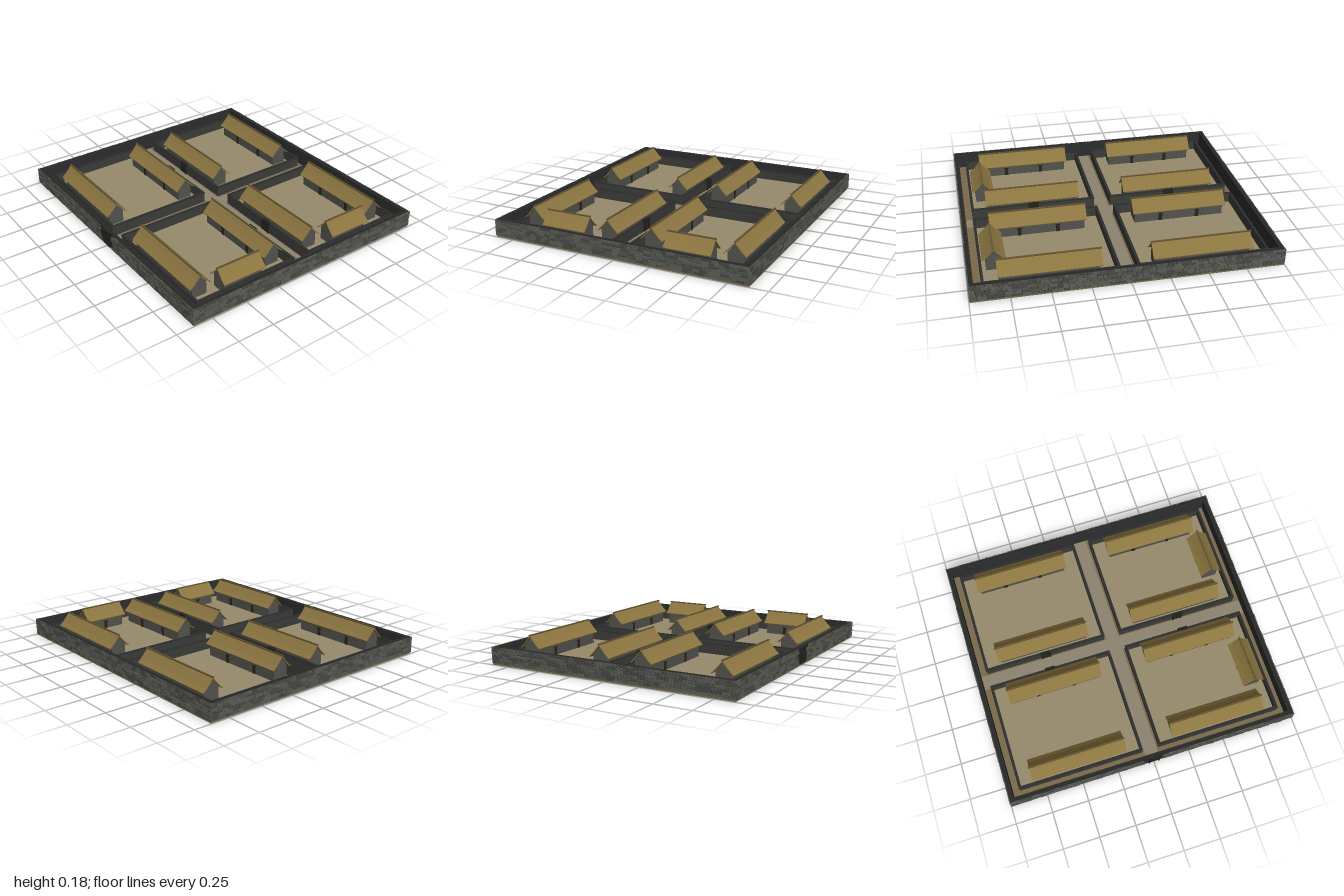
import * as THREE from 'three';
import { mergeGeometries } from 'three/addons/utils/BufferGeometryUtils.js';

const mat = (color) => new THREE.MeshStandardMaterial({ color, roughness: 1, flatShading: true });
const M = {
  earth: mat(0x7b6a4b), road: mat(0x8d8370), court: mat(0x978a6c),
  core: mat(0x272725), stones: [0x474743, 0x52524d, 0x5c5c56].map(mat),
  inner: mat(0x3b3b38), cap: mat(0x2c2d2e), plaster: mat(0x52524e),
  thatch: mat(0x8b7540), ridge: mat(0x66552f), wood: mat(0x2c2219), frame: mat(0x20201f),
};
const GROUND = 0.01, WALL_TOP = 0.12, HX = 1, HZ = 0.885;

let seed = 7;
const rand = () => (seed = (seed * 16807) % 2147483647) / 2147483647;

function add(parent, name, geometry, material) {
  const mesh = new THREE.Mesh(geometry, material);
  mesh.name = name;
  parent.add(mesh);
  return mesh;
}

// Box given by its centre in x and z and its bottom in y
function box(parent, name, material, w, h, d, x, y, z) {
  return add(parent, name, new THREE.BoxGeometry(w, h, d).translate(x, y + h / 2, z), material);
}

// Four walls round a rectangle; x0..z1 are the outer faces
function wallRing(parent, name, material, x0, x1, z0, z1, t, y, h) {
  const cx = (x0 + x1) / 2, cz = (z0 + z1) / 2;
  for (const z of [z0 + t / 2, z1 - t / 2]) box(parent, name, material, x1 - x0, h, t, cx, y, z);
  for (const x of [x0 + t / 2, x1 - t / 2]) box(parent, name, material, t, h, z1 - z0 - 2 * t, x, y, cz);
}

// Uneven stone courses on the outside of the perimeter wall
function stoneFacing(parent) {
  const piles = M.stones.map(() => []);
  const rows = 6, rowH = (WALL_TOP - GROUND) / rows, gap = 0.003;
  const sides = [[HX, HZ, 0], [HZ, HX, Math.PI / 2], [HX, HZ, Math.PI], [HZ, HX, -Math.PI / 2]];
  for (const [half, out, angle] of sides) {
    for (let r = 0; r < rows; r++) {
      let a = -half;
      while (a < half - 0.001) {
        let b = a + 0.025 + rand() * 0.04;
        if (half - b < 0.02) b = half;
        const isGate = angle === 0 && a < 0.04 && b > -0.04;
        if (!isGate) {
          const depth = 0.006 + rand() * 0.004;
          const g = new THREE.BoxGeometry(b - a - gap, rowH - gap, depth);
          g.translate((a + b) / 2, GROUND + (r + 0.5) * rowH, out - 0.01 + depth / 2);
          piles[Math.floor(rand() * piles.length)].push(g.rotateY(angle));
        }
        a = b;
      }
    }
  }
  piles.forEach((p, i) => add(parent, 'wallStones', mergeGeometries(p), M.stones[i]));
}

// Framed double door facing +z, standing at the origin
function gate(w, h, d) {
  const g = new THREE.Group();
  g.name = 'gate';
  const post = w * 0.14;
  for (const s of [-1, 1]) {
    box(g, 'gatePost', M.frame, post, h, d, s * (w - post) / 2, 0, 0);
    box(g, 'gateLeaf', M.wood, w / 2 - post - 0.001, h - post, d * 0.6, s * (w / 2 - post) / 2, 0, 0);
  }
  box(g, 'gateLintel', M.frame, w, post, d, 0, h - post, 0);
  return g;
}

// Extrude a cross-section (z, y) along x
function prism(points, length) {
  const shape = new THREE.Shape(points.map(([x, y]) => new THREE.Vector2(x, y)));
  return new THREE.ExtrudeGeometry(shape, { depth: length, bevelEnabled: false })
    .translate(0, 0, -length / 2).rotateY(Math.PI / 2);
}

// Long thatched house, ridge along x, doors on +z
function house(length, doors) {
  const g = new THREE.Group();
  g.name = 'house';
  const wallL = length - 0.035, wallHalf = 0.052, h = 0.105;
  add(g, 'houseWalls', prism([[-wallHalf, GROUND], [wallHalf, GROUND], [wallHalf, h],
    [0, 0.165], [-wallHalf, h]], wallL), M.plaster);
  // slightly sagging roof slopes
  const top = [[0.075, 0.096], [0.05, 0.119], [0.022, 0.15], [0, 0.178]];
  const under = [[0, 0.168], [0.022, 0.141], [0.05, 0.111], [0.073, 0.09]];
  const flip = (list) => list.map(([x, y]) => [-x, y]).reverse();
  const section = [...top, ...flip(top).slice(1), ...flip(under), ...under.slice(1)];
  add(g, 'thatchedRoof', prism(section, length - 0.005), M.thatch);
  box(g, 'ridgePole', M.ridge, length + 0.004, 0.008, 0.01, 0, 0.174, 0);
  for (const x of doors) {
    box(g, 'houseDoor', M.wood, 0.024, 0.055, 0.006, x, GROUND, wallHalf + 0.001);
    box(g, 'doorLintel', M.frame, 0.032, 0.006, 0.008, x, GROUND + 0.055, wallHalf + 0.001);
  }
  return g;
}

function place(parent, object, x, y, z, angle = 0) {
  object.position.set(x, y, z);
  object.rotation.y = angle;
  parent.add(object);
}

// Walled courtyard; sx and sz choose the quarter
function compound(sx, sz) {
  const g = new THREE.Group();
  g.name = 'compound';
  const x0 = sx > 0 ? 0.058 : -0.915, x1 = sx > 0 ? 0.915 : -0.058;
  const z0 = sz > 0 ? 0.058 : -0.81, z1 = sz > 0 ? 0.8 : -0.058;
  box(g, 'courtyardFloor', M.court, x1 - x0, 0.004, z1 - z0, (x0 + x1) / 2, GROUND, (z0 + z1) / 2);
  wallRing(g, 'compoundWall', M.inner, x0, x1, z0, z1, 0.012, GROUND, 0.07);
  wallRing(g, 'wallCap', M.cap, x0 - 0.003, x1 + 0.003, z0 - 0.003, z1 + 0.003, 0.018, GROUND + 0.07, 0.005);
  place(g, gate(0.07, 0.08, 0.024), sx * 0.487, GROUND, sz * 0.06, sz > 0 ? Math.PI : 0);
  // one house on each long side, doors towards the yard
  const zs = sz > 0 ? [0.15, 0.705] : [-0.715, -0.162];
  zs.forEach((z, i) => place(g, house(0.66, [-0.13, 0.13]), sx * 0.488, 0, z, i ? Math.PI : 0));
  if (sx > 0) place(g, house(0.32, [0]), 0.82, 0, sz > 0 ? 0.43 : -0.438, -Math.PI / 2);
  return g;
}

export function createModel() {
  const model = new THREE.Group();
  model.name = 'walledSettlement';

  // ground and crossing roads
  box(model, 'ground', M.earth, 2 * HX - 0.01, GROUND, 2 * HZ - 0.01, 0, 0, 0);
  box(model, 'longRoad', M.road, 0.09, 0.003, 2 * HZ - 0.08, 0, GROUND, 0);
  box(model, 'crossRoad', M.road, 2 * HX - 0.08, 0.0025, 0.1, 0, GROUND, 0);

  // perimeter wall
  const wall = new THREE.Group();
  wall.name = 'perimeterWall';
  wallRing(wall, 'wallCore', M.core, -HX + 0.008, HX - 0.008, -HZ + 0.008, HZ - 0.008, 0.026, GROUND, WALL_TOP - GROUND - 0.001);
  wallRing(wall, 'innerLedge', M.cap, -0.97, 0.97, -HZ + 0.03, HZ - 0.03, 0.006, GROUND, WALL_TOP - GROUND);
  stoneFacing(wall);
  place(wall, gate(0.075, 0.106, 0.03), 0, GROUND, HZ - 0.013);
  model.add(wall);

  for (const sx of [-1, 1]) for (const sz of [-1, 1]) model.add(compound(sx, sz));
  return model;
}
